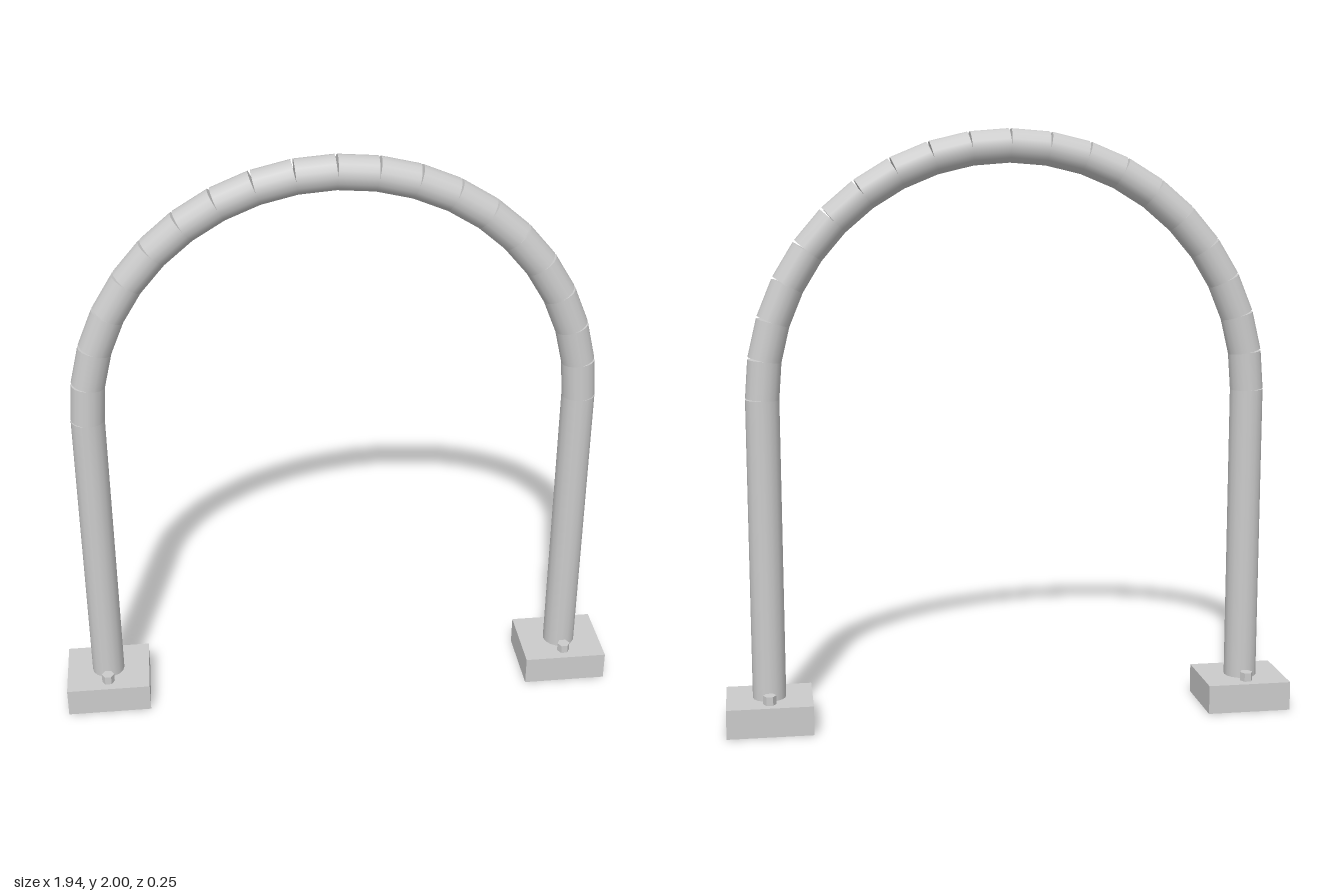
import * as THREE from 'three';

const ARCH_RADIUS = 0.825; // centre line of the tube
const TUBE = 0.056;
const SPRING = 1.119;      // height where the arch begins
const PLATE = 0.1;
const SEGMENTS = 20;

const material = new THREE.MeshStandardMaterial({ color: 0xcccccc });

function add(parent, name, geometry, x, y, z) {
  const mesh = new THREE.Mesh(geometry, material);
  mesh.name = name;
  mesh.position.set(x, y, z);
  parent.add(mesh);
  return mesh;
}

export function createModel() {
  const group = new THREE.Group();
  group.name = 'hoopStand';

  const plateGeo = new THREE.BoxGeometry(0.29, PLATE, 0.254);
  const legGeo = new THREE.CylinderGeometry(TUBE, TUBE, SPRING - PLATE, 16);
  const boltGeo = new THREE.CylinderGeometry(0.022, 0.022, 0.03, 6).rotateY(Math.PI / 6).toNonIndexed();
  boltGeo.computeVertexNormals();

  // Base plate, upright and two hexagonal bolts on each side
  for (const [side, s] of [['left', 1], ['right', -1]]) {
    const x = s * ARCH_RADIUS;
    add(group, side + 'BasePlate', plateGeo, x, PLATE / 2, 0);
    add(group, side + 'Leg', legGeo, x, (PLATE + SPRING) / 2, 0);
    for (const z of [-0.08, 0.08]) {
      add(group, side + (z > 0 ? 'Front' : 'Back') + 'Bolt', boltGeo, x, PLATE + 0.015, z);
    }
  }

  // Arch of short straight tubes that leave wedge gaps on the outside
  const arch = new THREE.Group();
  arch.name = 'arch';
  arch.position.y = SPRING;
  group.add(arch);
  const step = Math.PI / SEGMENTS;
  const chord = 2 * ARCH_RADIUS * Math.sin(step / 2);
  const mid = ARCH_RADIUS * Math.cos(step / 2);
  const segmentGeo = new THREE.CylinderGeometry(TUBE, TUBE, chord, 16);
  for (let i = 0; i < SEGMENTS; i++) {
    const a = (i + 0.5) * step;
    const segment = add(arch, 'archSegment' + (i + 1), segmentGeo, mid * Math.cos(a), mid * Math.sin(a), 0);
    segment.rotation.z = a;
  }
  return group;
}
